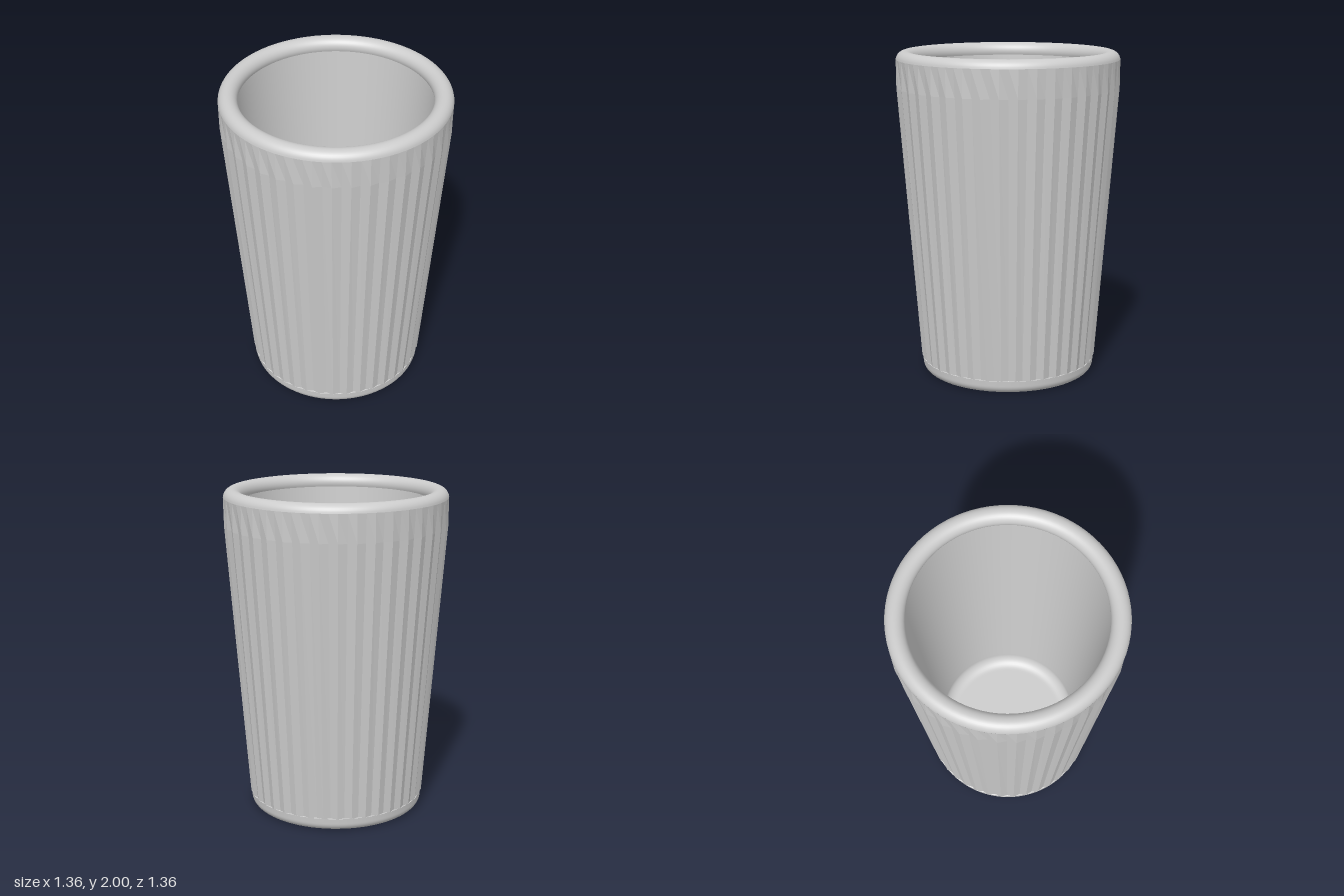
import * as THREE from 'three';

const FLUTES = 40;
const SEGMENTS = FLUTES * 2;

// Points along a circular arc in the profile plane, angles in degrees
function arc(cx, cy, rx, ry, from, to, steps = 10) {
  return Array.from({ length: steps + 1 }, (_, i) => {
    const a = THREE.MathUtils.degToRad(from + ((to - from) * i) / steps);
    return new THREE.Vector2(cx + rx * Math.cos(a), cy + ry * Math.sin(a));
  });
}

const p = (x, y) => new THREE.Vector2(x, y);

export function createModel() {
  const group = new THREE.Group();
  group.name = 'flutedCup';

  const smooth = new THREE.MeshStandardMaterial({ color: 0xcccccc });
  const faceted = new THREE.MeshStandardMaterial({ color: 0xcccccc, flatShading: true });

  const turn = (name, points, material = smooth) => {
    const mesh = new THREE.Mesh(new THREE.LatheGeometry(points, SEGMENTS), material);
    mesh.name = name;
    group.add(mesh);
    return mesh;
  };

  // Flat underside with a rounded foot
  turn('base', [p(0, 0), p(0.48, 0), ...arc(0.49, 0.05, 0.048, 0.05, -90, 0), p(0.54, 0.08)]);

  // Tapered outer wall: ridges and valleys alternate, fading out under the rim
  const rows = [
    { r: 0.54, depth: 0, y: 0.08 },
    { r: 0.546, depth: 0.013, y: 0.082 },
    { r: 0.677, depth: 0.013, y: 1.78 },
    { r: 0.678, depth: 0, y: 1.95 },
  ];
  const wall = turn('flutedWall', rows.map(({ r, y }) => p(r, y)), faceted);
  const pos = wall.geometry.attributes.position;
  for (let i = 0; i <= SEGMENTS; i++) {
    rows.forEach(({ r, depth, y }, j) => {
      const radius = i % 2 ? r - depth : r;
      const a = (i / SEGMENTS) * Math.PI * 2;
      pos.setXYZ(i * rows.length + j, radius * Math.sin(a), y, radius * Math.cos(a));
    });
  }
  wall.geometry.computeVertexNormals();

  // Rounded lip, curling slightly over the inside wall
  turn('rim', [p(0.678, 1.95), ...arc(0.6215, 1.945, 0.0565, 0.055, 5, 205, 20)]);

  // Inner wall, rounded into the floor
  turn('interior', [
    p(0.571, 1.925),
    p(0.446, 0.22),
    ...arc(0.365, 0.2, 0.08, 0.08, 0, -90),
    p(0.35, 0.12),
    p(0, 0.12),
  ]);

  return group;
}
